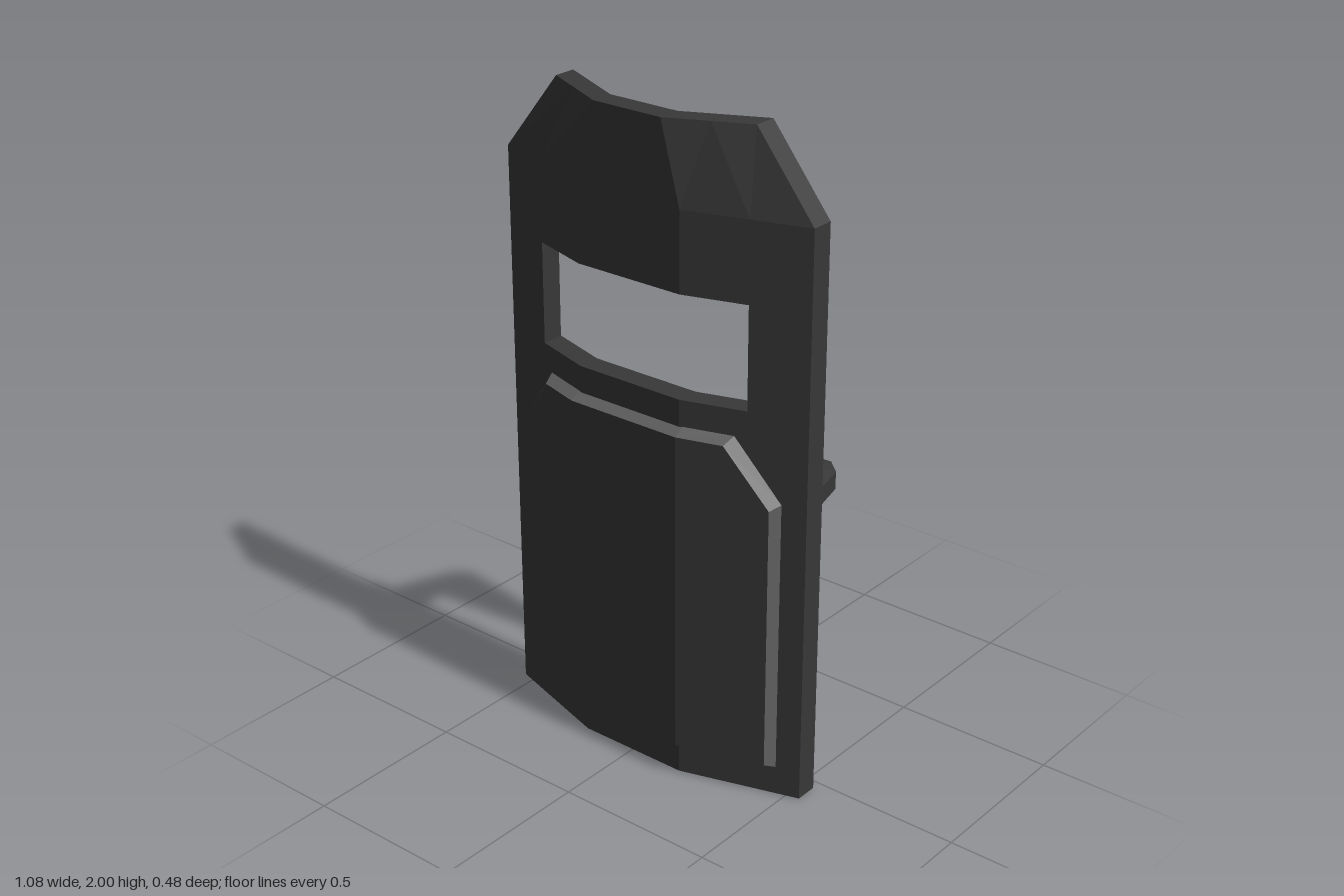
import * as THREE from 'three';

// Flat-shaded geometry from a list of quads (corners counter-clockwise from outside)
function quadGeometry(quads) {
  const pos = [];
  for (const [a, b, c, d] of quads) pos.push(...a, ...b, ...c, ...a, ...c, ...d);
  const g = new THREE.BufferGeometry();
  g.setAttribute('position', new THREE.Float32BufferAttribute(pos, 3));
  g.computeVertexNormals();
  return g;
}

function part(name, quads, material) {
  const mesh = new THREE.Mesh(quadGeometry(quads), material);
  mesh.name = name;
  return mesh;
}

// Depth of the bent plate's front face at a given x
const frontZ = (x) => 0.21 - 0.11 * Math.max(0, (Math.abs(x) - 0.18) / 0.36);

// Bent plate on a grid, with a viewing slot and a tapered top row
function plateQuads() {
  const xs = [-0.54, -0.37, -0.18, 0.18, 0.37, 0.54];
  const ys = [0, 1.21, 1.52, 1.76, 2];
  const thick = 0.07;
  const point = ([i, j], back) =>
    [xs[i] * (j === 4 ? 0.645 : 1), ys[j], frontZ(xs[i]) - (back ? thick : 0)];
  const solid = (i, j) =>
    i >= 0 && i < 5 && j >= 0 && j < 4 && !(j === 1 && i > 0 && i < 4);
  const quads = [];
  for (let i = 0; i < 5; i++) {
    for (let j = 0; j < 4; j++) {
      if (!solid(i, j)) continue;
      const c = [[i, j], [i + 1, j], [i + 1, j + 1], [i, j + 1]];
      quads.push(c.map((p) => point(p, false)));
      quads.push(c.map((p) => point(p, true)).reverse());
      // Walls along the outer rim and around the slot
      [[0, -1], [1, 0], [0, 1], [-1, 0]].forEach(([di, dj], k) => {
        if (solid(i + di, j + dj)) return;
        const a = c[k], b = c[(k + 1) % 4];
        quads.push([point(a, false), point(a, true), point(b, true), point(b, false)]);
      });
    }
  }
  return quads;
}

// Raised panel: columns of [x, top y], mirrored about x = 0
function panelColumns(half, bottom, zs) {
  const right = half.map(([x, top], i) => ({ lo: [x, bottom, zs[i]], hi: [x, top, zs[i]] }));
  const flip = ([x, y, z]) => [-x, y, z];
  const left = right.map((c) => ({ lo: flip(c.lo), hi: flip(c.hi) })).reverse();
  return [...left, ...right];
}

function panelQuads() {
  const face = panelColumns([[0.19, 1.11], [0.325, 1.11], [0.455, 0.935]], 0.11, [0.24, 0.2, 0.16]);
  const base = panelColumns([[0.19, 1.13], [0.335, 1.13], [0.47, 0.945]], 0.09, [0.207, 0.162, 0.12]);
  const front = [], bevel = [];
  for (let i = 0; i < 5; i++) {
    const f = face[i], g = face[i + 1], b = base[i], d = base[i + 1];
    front.push([f.lo, g.lo, g.hi, f.hi]);
    front.push([b.lo, d.lo, g.lo, f.lo]); // lower edge
    bevel.push([f.hi, g.hi, d.hi, b.hi]); // upper edge
  }
  bevel.push([base[0].lo, face[0].lo, face[0].hi, base[0].hi]);
  bevel.push([face[5].lo, base[5].lo, base[5].hi, face[5].hi]);
  return { front, bevel };
}

// Rear handle: a flat strip through stations of outer and inner top points
function handleQuads() {
  const half = [
    [[0.505, 0.935, 0.045], [0.365, 0.935, 0.087]],
    [[0.43, 0.915, -0.19], [0.34, 0.965, -0.065]],
    [[0.375, 0.91, -0.243], [0.335, 0.965, -0.067]],
  ];
  const flip = ([x, y, z]) => [-x, y, z];
  const stations = [
    ...half,
    [[0, 0.925, -0.19], [0, 0.955, -0.1]],
    ...half.map((s) => s.map(flip)).reverse(),
  ];
  const under = ([x, y, z]) => [x, y - 0.055, z];
  const quads = [];
  for (let i = 0; i < stations.length - 1; i++) {
    const [o, n] = stations[i], [p, m] = stations[i + 1];
    quads.push([o, p, m, n]);
    quads.push([under(n), under(m), under(p), under(o)]);
    quads.push([under(o), under(p), p, o]);
    quads.push([n, m, under(m), under(n)]);
  }
  return quads;
}

export function createModel() {
  const darkGrey = new THREE.MeshStandardMaterial({ color: 0x383838 });
  darkGrey.name = 'dark grey';
  const edgeGrey = new THREE.MeshStandardMaterial({ color: 0x606060 });
  edgeGrey.name = 'edge grey';

  const panel = panelQuads();
  const frontPanel = new THREE.Group();
  frontPanel.name = 'frontPanel';
  frontPanel.add(
    part('panelFace', panel.front, darkGrey),
    part('panelBevel', panel.bevel, edgeGrey),
  );

  const model = new THREE.Group();
  model.name = 'shield';
  model.add(
    part('shieldPlate', plateQuads(), darkGrey),
    frontPanel,
    part('rearHandle', handleQuads(), darkGrey),
  );
  return model;
}
